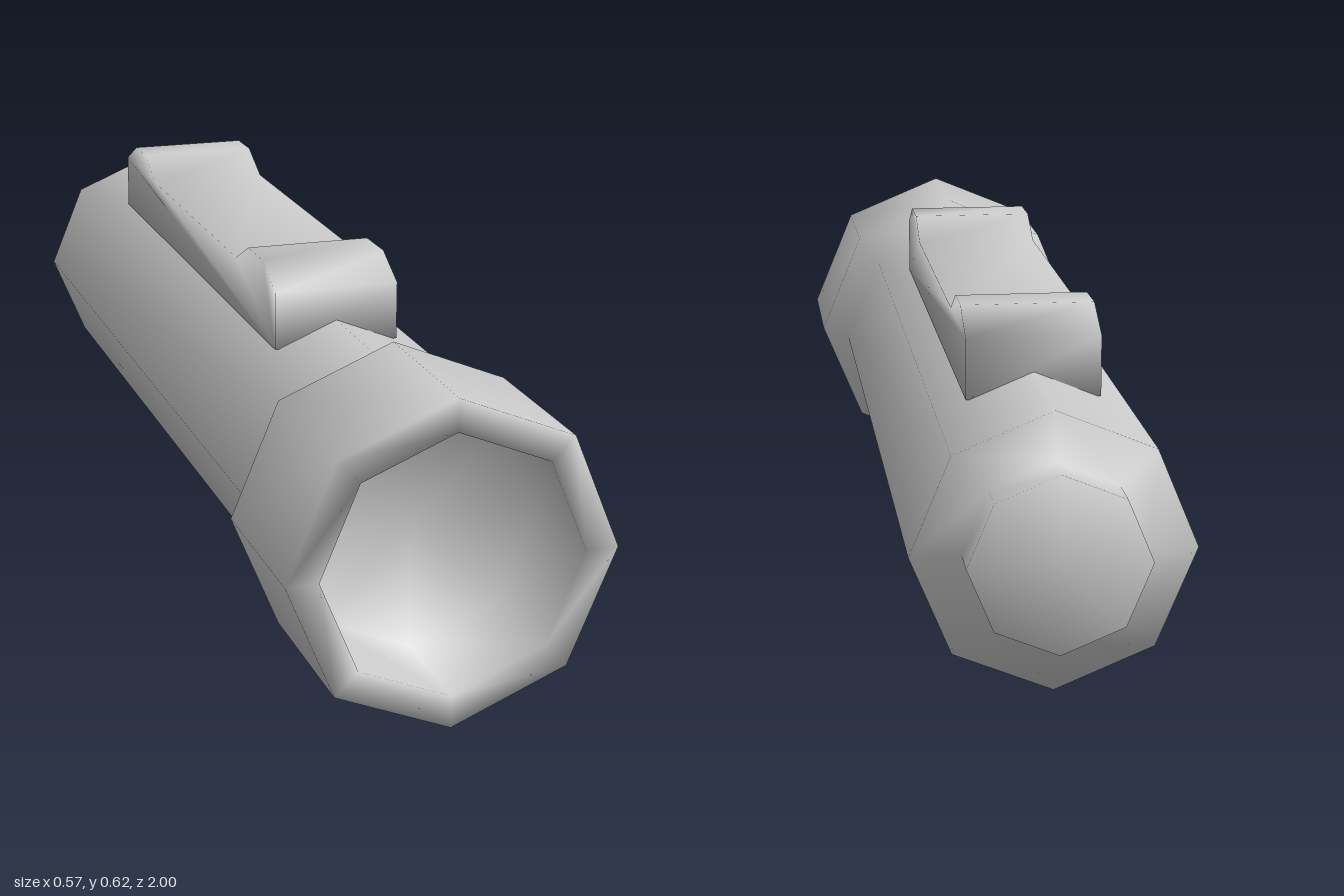
import * as THREE from 'three';
import { mergeVertices } from 'three/addons/utils/BufferGeometryUtils.js';

const SIDES = 8;
const AXIS_Y = 0.285;

export function createModel() {
  const group = new THREE.Group();
  const material = new THREE.MeshStandardMaterial({ color: 0xcccccc });

  const add = (name, geometry) => {
    const mesh = new THREE.Mesh(geometry, material);
    mesh.name = name;
    group.add(mesh);
    return mesh;
  };

  // Octagonal torch body: tail cap, barrel, flared head and hollow reflector, as [radius, z]
  const profile = [
    [0, -1], [0.15, -1], [0.15, -0.93],
    [0.235, -0.93], [0.235, 0.6],
    [0.285, 0.7], [0.285, 1],
    [0.228, 1], [0.228, 0.8], [0, 0.8],
  ].map(([r, z]) => new THREE.Vector2(r, z));
  const body = new THREE.LatheGeometry(profile, SIDES);
  body.rotateX(Math.PI / 2);
  add('torchBody', body).position.y = AXIS_Y;

  // Switch plate with a raised bump at each end, outlined as [z, y]
  const outline = [
    [0.405, 0.475], [0.405, 0.58], [0.33, 0.62], [0.24, 0.62], [0.16, 0.58],
    [-0.44, 0.58], [-0.52, 0.62], [-0.6, 0.62], [-0.68, 0.58], [-0.68, 0.475],
  ].map(([z, y]) => new THREE.Vector2(z, y));
  const width = 0.23;
  let plate = new THREE.ExtrudeGeometry(new THREE.Shape(outline), { depth: width, bevelEnabled: false });
  plate.rotateY(-Math.PI / 2);
  plate.translate(width / 2, 0, 0);

  // Share corners so the plate shades softly
  plate.deleteAttribute('normal');
  plate.deleteAttribute('uv');
  plate = mergeVertices(plate);
  plate.computeVertexNormals();
  add('switchPlate', plate);

  return group;
}
